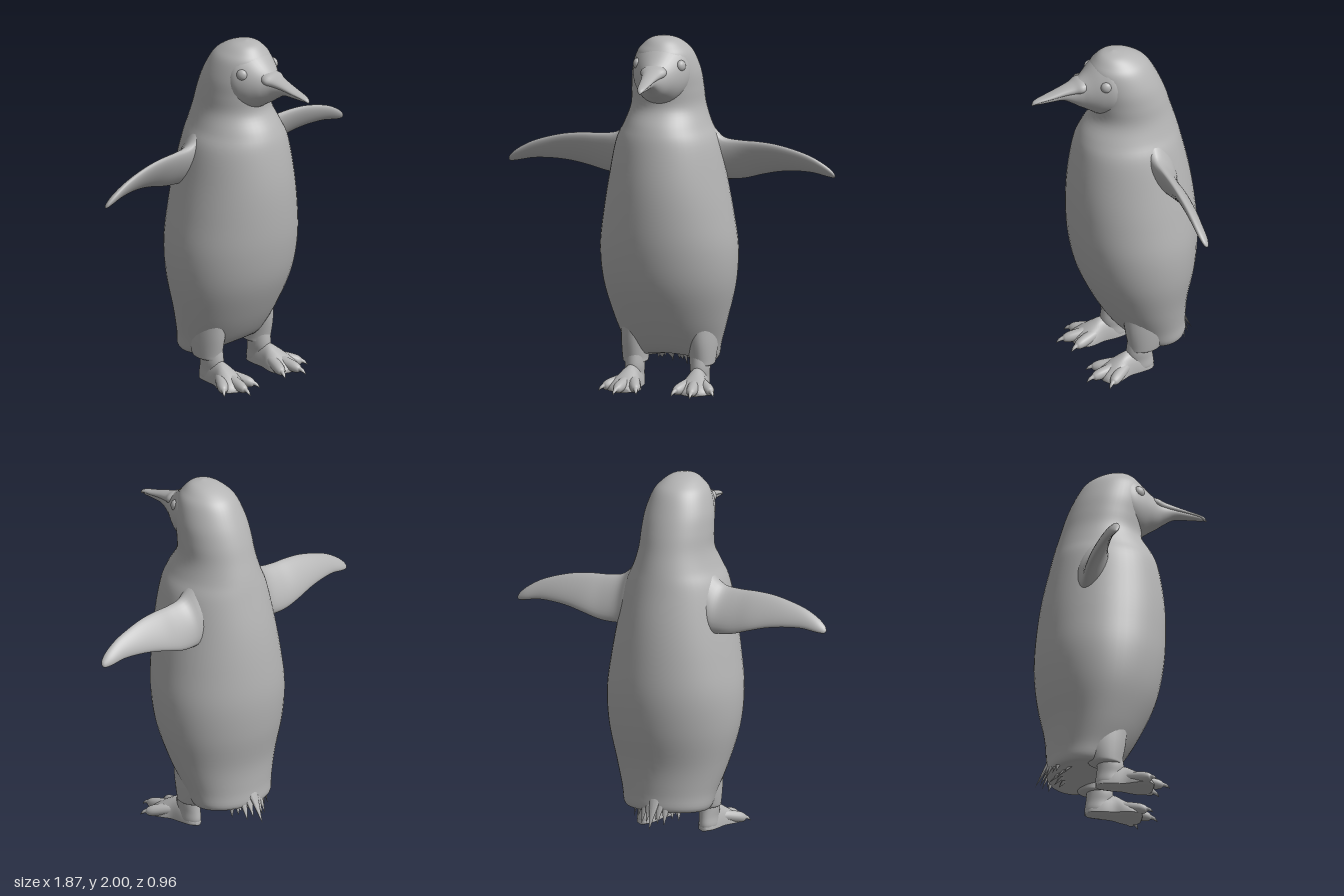
import * as THREE from 'three';

const grey = new THREE.MeshStandardMaterial({ color: 0xb4b4b4 });
grey.name = 'plain grey';

// Smoothly interpolate the columns of a short key table.
function sample(keys, u) {
  const f = u * (keys.length - 1), i = Math.min(Math.floor(f), keys.length - 2), t = f - i;
  const k = (j) => keys[Math.max(0, Math.min(keys.length - 1, j))];
  return keys[0].map((_, c) => {
    const a = k(i - 1)[c], b = k(i)[c], d = k(i + 1)[c], e = k(i + 2)[c];
    return b + 0.5 * t * (d - a + t * (2 * a - 5 * b + 4 * d - e + t * (3 * (b - d) + e - a)));
  });
}

// Closed, smooth skin over rings; point(row, angle) gives [x, y, z].
function loft(name, keys, point, steps = 24, sides = 28) {
  const pos = [], idx = [];
  for (let i = 0; i <= steps; i++) {
    const row = sample(keys, i / steps);
    for (let j = 0; j < sides; j++) pos.push(...point(row, (j / sides) * Math.PI * 2));
  }
  for (let i = 0; i < steps; i++) for (let j = 0; j < sides; j++) {
    const a = i * sides + j, b = i * sides + (j + 1) % sides;
    idx.push(a, b, b + sides, a, b + sides, a + sides);
  }
  for (const ring of [0, steps]) {
    const c = [0, 0, 0], id = pos.length / 3;
    for (let j = 0; j < sides; j++) for (let k = 0; k < 3; k++) c[k] += pos[(ring * sides + j) * 3 + k] / sides;
    pos.push(...c);
    for (let j = 0; j < sides; j++) {
      const a = ring * sides + j, b = ring * sides + (j + 1) % sides;
      if (ring) idx.push(a, b, id); else idx.push(b, a, id);
    }
  }
  // Turn the faces outward when the enclosed volume is negative
  let volume = 0;
  const p = (i) => new THREE.Vector3().fromArray(pos, i * 3);
  for (let i = 0; i < idx.length; i += 3) volume += p(idx[i]).dot(p(idx[i + 1]).cross(p(idx[i + 2])));
  if (volume < 0) idx.reverse();
  const g = new THREE.BufferGeometry();
  g.setAttribute('position', new THREE.Float32BufferAttribute(pos, 3));
  g.setIndex(idx);
  g.computeVertexNormals();
  const mesh = new THREE.Mesh(g, grey);
  mesh.name = name;
  return mesh;
}

// Body and head: y, half width, front z, back z, lift of the front hem
function body() {
  return loft('body', [
    [2.0, 0.004, 0.0, -0.008, 0], [1.985, 0.07, 0.06, -0.085, 0], [1.95, 0.118, 0.1, -0.16, 0],
    [1.9, 0.158, 0.13, -0.215, 0], [1.8, 0.19, 0.13, -0.27, 0], [1.7, 0.2, 0.12, -0.31, 0],
    [1.6, 0.207, 0.12, -0.34, 0], [1.5, 0.24, 0.18, -0.37, 0], [1.4, 0.285, 0.215, -0.395, 0],
    [1.2, 0.325, 0.245, -0.44, 0], [1.0, 0.36, 0.25, -0.468, 0], [0.8, 0.385, 0.235, -0.48, 0],
    [0.6, 0.372, 0.19, -0.462, 0], [0.4, 0.322, 0.1, -0.422, 0], [0.25, 0.275, 0.015, -0.412, 0.01],
    [0.16, 0.25, -0.04, -0.41, 0.05], [0.15, 0.2, -0.08, -0.36, 0.05], [0.18, 0.01, -0.2, -0.22, 0],
  ], ([y, w, zf, zb, lift], a) => [
    w * Math.sin(a), y + lift * Math.max(0, Math.cos(a)) ** 2,
    (zf + zb) / 2 + (zf - zb) / 2 * Math.cos(a),
  ], 85, 48);
}

// Lofts that run forward: z, half width, top y, bottom y
const forward = ([z, w, top, low], a) =>
  [w * Math.cos(a), (top + low) / 2 + (top - low) / 2 * Math.sin(a), z];

function head() {
  const g = new THREE.Group();
  g.name = 'face';
  g.add(loft('faceAndLowerBeak', [
    [-0.04, 0.16, 1.97, 1.62], [0.04, 0.162, 1.98, 1.62], [0.1, 0.138, 1.945, 1.63],
    [0.16, 0.1, 1.89, 1.667], [0.2, 0.072, 1.862, 1.69], [0.24, 0.052, 1.845, 1.718],
    [0.3, 0.036, 1.823, 1.752], [0.38, 0.027, 1.8, 1.757], [0.44, 0.018, 1.785, 1.757],
    [0.465, 0.006, 1.772, 1.758],
  ], forward, 45, 36));
  // Upper beak overlaps the lower one so its edge draws the mouth line
  g.add(loft('upperBeak', [
    [0.15, 0.06, 1.87, 1.79], [0.2, 0.074, 1.863, 1.787], [0.24, 0.056, 1.847, 1.785],
    [0.3, 0.042, 1.829, 1.783], [0.38, 0.032, 1.805, 1.776], [0.44, 0.023, 1.79, 1.768],
    [0.47, 0.013, 1.778, 1.757], [0.48, 0.002, 1.762, 1.754],
  ], forward, 30, 24));
  return g;
}

// Flipper: x, top edge y, z, bottom edge y, z, half thickness
function wing(side) {
  return loft('flipper', [
    [0.18, 1.55, -0.14, 1.2, -0.23, 0.09], [0.25, 1.465, -0.135, 1.17, -0.25, 0.075],
    [0.31, 1.415, -0.135, 1.165, -0.258, 0.052], [0.4, 1.403, -0.14, 1.173, -0.262, 0.038],
    [0.5, 1.4, -0.14, 1.2, -0.258, 0.033], [0.6, 1.39, -0.14, 1.223, -0.242, 0.029],
    [0.7, 1.367, -0.143, 1.234, -0.225, 0.026], [0.8, 1.333, -0.145, 1.234, -0.208, 0.023],
    [0.88, 1.288, -0.15, 1.22, -0.2, 0.02], [0.925, 1.25, -0.16, 1.214, -0.188, 0.012],
    [0.937, 1.228, -0.172, 1.222, -0.176, 0.003],
  ], ([x, yt, zt, yb, zb, th], a) => {
    const dy = (yt - yb) / 2, dz = (zt - zb) / 2, len = Math.hypot(dy, dz);
    const c = Math.cos(a), s = Math.sin(a) * th / len;
    return [side * x, (yt + yb) / 2 + dy * c - dz * s, (zt + zb) / 2 + dz * c + dy * s];
  }, 44, 28);
}

// Toe ending in a claw: fraction of length, radius, height
function toe(side, tipX, tipZ) {
  const x0 = 0.185, z0 = -0.03, len = Math.hypot(tipX - x0, tipZ - z0);
  const dx = (tipX - x0) / len, dz = (tipZ - z0) / len;
  return loft('toe', [
    [0, 0.03, 0.06], [0.3, 0.033, 0.055], [0.55, 0.033, 0.045], [0.72, 0.03, 0.038],
    [0.82, 0.022, 0.034], [0.86, 0.013, 0.034], [0.94, 0.009, 0.026], [1, 0.001, 0.01],
  ], ([f, r, y], a) => [
    side * (x0 + dx * f * len + dz * r * Math.cos(a)),
    Math.max(0.004, y + r * Math.sin(a)), z0 + dz * f * len - dx * r * Math.cos(a),
  ], 24, 16);
}

function leg(side) {
  const g = new THREE.Group();
  g.name = side > 0 ? 'leftLeg' : 'rightLeg';
  // Vertical lofts: y, x, z, x radius, z radius
  const upright = ([y, x, z, rx, rz], a) => [side * x + rx * Math.cos(a), y, z + rz * Math.sin(a)];
  g.add(loft('thigh', [
    [0.42, 0.18, -0.12, 0.09, 0.13], [0.28, 0.19, -0.13, 0.082, 0.13],
    [0.17, 0.192, -0.12, 0.072, 0.1], [0.142, 0.19, -0.11, 0.064, 0.085], [0.14, 0.19, -0.1, 0.03, 0.04],
  ], upright, 20));
  g.add(loft('ankle', [
    [0.2, 0.187, -0.09, 0.054, 0.07], [0.13, 0.187, -0.085, 0.055, 0.075],
    [0.08, 0.187, -0.09, 0.05, 0.075], [0.03, 0.187, -0.095, 0.05, 0.075], [0.004, 0.187, -0.095, 0.035, 0.055],
  ], upright, 16));
  // Webbed foot: z, centre x, half width, top y
  g.add(loft('foot', [
    [-0.168, 0.187, 0.015, 0.035], [-0.14, 0.187, 0.042, 0.08], [-0.08, 0.187, 0.054, 0.13],
    [-0.01, 0.19, 0.06, 0.135], [0.04, 0.195, 0.08, 0.112], [0.09, 0.2, 0.092, 0.082],
    [0.13, 0.202, 0.078, 0.055], [0.15, 0.203, 0.045, 0.032],
  ], ([z, x, w, top], a) => {
    const s = Math.sin(a);
    return [side * (x + w * Math.cos(a)), 0.012 + s * (s > 0 ? top - 0.012 : 0.008), z];
  }, 28, 24));
  for (const [x, z] of [[0.33, 0.15], [0.22, 0.243], [0.1, 0.2]]) g.add(toe(side, x, z));
  return g;
}

// Ragged tail feathers: flattened spikes from base to tip
function tail() {
  const g = new THREE.Group();
  g.name = 'tail';
  const feather = (x0, y0, z0, x1, y1, z1) => {
    const base = new THREE.Vector3(x0, y0, z0), d = new THREE.Vector3(x1, y1, z1).sub(base);
    const geo = new THREE.ConeGeometry(0.04, d.length(), 10, 1).scale(1, 1, 0.4);
    const m = new THREE.Mesh(geo, grey);
    m.name = 'tailFeather';
    m.position.copy(base).addScaledVector(d, 0.5);
    m.quaternion.setFromUnitVectors(new THREE.Vector3(0, 1, 0), d.normalize());
    g.add(m);
  };
  for (let i = -4; i <= 4; i++) {
    const k = Math.abs(i) / 4, odd = i % 2 ? 0.02 : 0;
    feather(i * 0.03, 0.25, -0.385 + 0.035 * k, i * 0.034, 0.06 + odd + 0.045 * k, -0.48 + 0.1 * k + odd * 0.5);
  }
  for (let i = -2; i <= 2; i++) {
    const k = Math.abs(i) / 2;
    feather(i * 0.045, 0.19, -0.31 + 0.03 * k, i * 0.05, 0.1 + 0.02 * k, -0.4 + 0.07 * k);
  }
  return g;
}

export function createModel() {
  const model = new THREE.Group();
  model.name = 'penguin';
  model.add(body(), head(), tail());
  for (const side of [1, -1]) {
    model.add(wing(side), leg(side));
    const eye = new THREE.Mesh(new THREE.SphereGeometry(1, 20, 14), grey);
    eye.name = 'eye';
    eye.scale.set(0.024, 0.032, 0.032);
    eye.position.set(side * 0.125, 1.85, 0.085);
    eye.rotation.y = -side * 0.4;
    model.add(eye);
  }
  return model;
}
